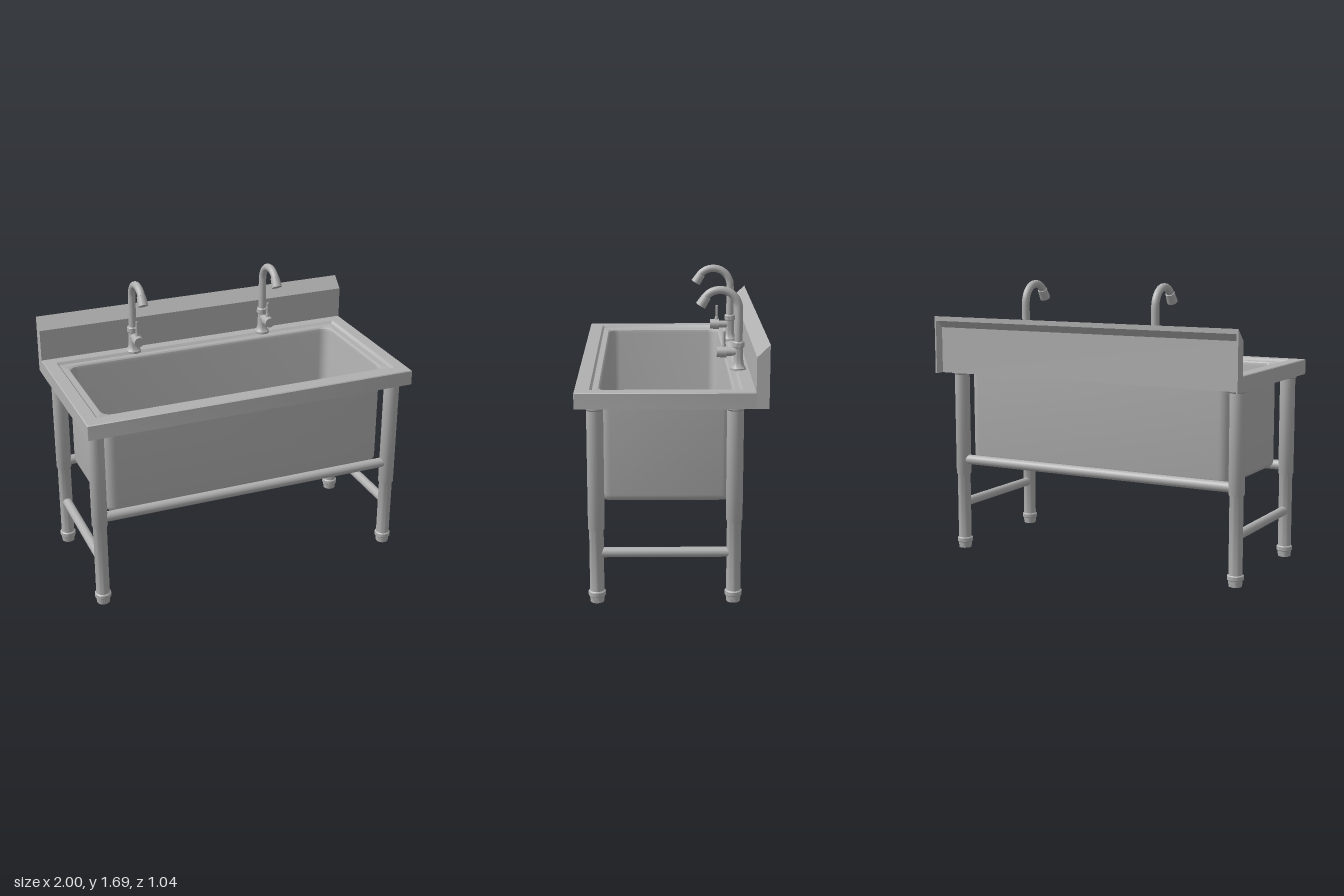
import * as THREE from 'three';
import { toCreasedNormals } from 'three/addons/utils/BufferGeometryUtils.js';

const steel = new THREE.MeshStandardMaterial({ color: 0xb0b0b0 });
steel.name = 'brushed steel';
const V = (x, y, z) => new THREE.Vector3(x, y, z);

function add(parent, name, geometry, x = 0, y = 0, z = 0) {
  const mesh = new THREE.Mesh(geometry, steel);
  mesh.name = name;
  mesh.position.set(x, y, z);
  parent.add(mesh);
  return mesh;
}

// Skin over rounded rectangles; each ring is [halfX, zBack, zFront, cornerRadius, y]
function loft(rings) {
  const steps = 6, n = 4 * (steps + 1), pos = [], index = [];
  for (const [hx, z0, z1, r, y] of rings) {
    const corners = [[hx - r, z1 - r], [-hx + r, z1 - r], [-hx + r, z0 + r], [hx - r, z0 + r]];
    corners.forEach(([cx, cz], q) => {
      for (let s = 0; s <= steps; s++) {
        const a = (q + s / steps) * Math.PI / 2;
        pos.push(cx + r * Math.cos(a), y, cz + r * Math.sin(a));
      }
    });
  }
  for (let k = 0; k < rings.length - 1; k++) {
    for (let i = 0; i < n; i++) {
      const a = k * n + i, b = k * n + (i + 1) % n;
      index.push(a, a + n, b + n, a, b + n, b);
    }
  }
  const g = new THREE.BufferGeometry();
  g.setAttribute('position', new THREE.Float32BufferAttribute(pos, 3));
  g.setIndex(index);
  return toCreasedNormals(g, 0.6);
}

// Lathe from [radius, y] pairs, listed bottom to top
function turned(points, segments = 24) {
  const g = new THREE.LatheGeometry(points.map(([r, y]) => new THREE.Vector2(r, y)), segments);
  return toCreasedNormals(g, 0.6);
}

// Cylinder between two points
function rod(parent, name, a, b, r0, r1 = r0) {
  const mesh = add(parent, name, new THREE.CylinderGeometry(r1, r0, a.distanceTo(b), 20));
  mesh.position.copy(a).add(b).multiplyScalar(0.5);
  mesh.quaternion.setFromUnitVectors(V(0, 1, 0), b.clone().sub(a).normalize());
  return mesh;
}

// Side profile in [z, y], extruded along x and starting at xMax
function sideProfile(points, width, xMax) {
  const shape = new THREE.Shape(points.map(([z, y]) => new THREE.Vector2(z, y)));
  return new THREE.ExtrudeGeometry(shape, { depth: width, bevelEnabled: false })
    .rotateY(-Math.PI / 2).translate(xMax, 0, 0);
}

function makeFaucet(x) {
  const faucet = new THREE.Group();
  faucet.name = 'faucet';
  faucet.position.set(x, 0, -0.39);
  add(faucet, 'faucetBody', turned([
    [0, 1.205], [0.046, 1.205], [0.046, 1.218], [0.036, 1.228], [0.029, 1.25], [0.027, 1.28],
    [0.027, 1.335], [0.034, 1.34], [0.034, 1.365], [0.029, 1.372], [0, 1.372]]));

  // Swan neck: straight riser, then an arc towards the front
  const path = [V(0, 1.36, 0), V(0, 1.46, 0)];
  for (let i = 0; i <= 10; i++) {
    const a = Math.PI - (i / 10) * Math.PI * 0.78;
    path.push(V(0, 1.558 + 0.108 * Math.sin(a), 0.108 + 0.108 * Math.cos(a)));
  }
  add(faucet, 'swanNeck', new THREE.TubeGeometry(new THREE.CatmullRomCurve3(path), 48, 0.023, 16));
  rod(faucet, 'spoutTip', V(0, 1.628, 0.185), V(0, 1.577, 0.218), 0.027, 0.031);

  // Side valve with its lever
  rod(faucet, 'valveArm', V(0, 1.31, 0), V(0, 1.31, 0.08), 0.023);
  rod(faucet, 'valveKnob', V(0, 1.31, 0.07), V(0, 1.31, 0.125), 0.034, 0.03);
  rod(faucet, 'leverStem', V(0, 1.33, 0.084), V(0, 1.36, 0.084), 0.015, 0.01);
  rod(faucet, 'lever', V(0, 1.35, 0.084), V(0, 1.43, 0.084), 0.008);
  return faucet;
}

export function createModel() {
  const sink = new THREE.Group();
  sink.name = 'utilitySink';

  // Basin shell: outer bottom, outer wall, rim, recessed ledge, inner wall and floor
  const rings = [[0, 0.03, 0.03, 0, 0.56]];
  const fillet = (hx, z0, z1, y, r, t) => {
    const d = r * (1 - Math.cos(t)), h = r * (1 - Math.sin(t));
    return [hx - d, z0 + d, z1 - d, 0.06 - d, y + h];
  };
  for (let i = 4; i >= 0; i--) rings.push(fillet(0.872, -0.34, 0.393, 0.56, 0.04, i * Math.PI / 8));
  rings.push(
    [0.872, -0.34, 0.393, 0.06, 1.12],
    [1, -0.455, 0.52, 0.003, 1.12],
    [1, -0.455, 0.52, 0.003, 1.205],
    [0.995, -0.45, 0.515, 0.003, 1.21],
    [0.925, -0.385, 0.44, 0.01, 1.21],
    [0.912, -0.372, 0.428, 0.01, 1.195],
    [0.875, -0.343, 0.396, 0.06, 1.195],
    [0.866, -0.334, 0.387, 0.06, 1.187],
    [0.862, -0.33, 0.383, 0.06, 1.17]);
  for (let i = 0; i <= 4; i++) rings.push(fillet(0.862, -0.33, 0.383, 0.57, 0.04, i * Math.PI / 8));
  rings.push([0, 0.03, 0.03, 0, 0.57]);
  add(sink, 'basinAndRim', loft(rings));

  // Folded backsplash sheet, open behind, with end plates
  add(sink, 'backsplash', sideProfile([
    [-0.45, 1.12], [-0.45, 1.4], [-0.52, 1.468], [-0.52, 1.44],
    [-0.512, 1.44], [-0.512, 1.449], [-0.46, 1.397], [-0.46, 1.12]], 2, 1));
  const endPlate = [[-0.45, 1.12], [-0.45, 1.4], [-0.52, 1.468], [-0.52, 1.12]];
  for (const xMax of [1, -0.99]) add(sink, 'backsplashEnd', sideProfile(endPlate, 0.01, xMax));

  // Legs: sleeves of differing length over thinner tubes, on adjustable feet
  const legX = 0.928, frontZ = 0.412, backZ = -0.345;
  const legs = [[1, frontZ, 0.43], [-1, frontZ, 0.52], [1, backZ, 0.48], [-1, backZ, 0.53]];
  for (const [side, z, sleeveEnd] of legs) {
    add(sink, 'leg', turned([
      [0, 0.05], [0.04, 0.05], [0.04, sleeveEnd - 0.012], [0.046, sleeveEnd],
      [0.046, 1.1], [0.052, 1.108], [0.052, 1.125]]), side * legX, 0, z);
    add(sink, 'foot', turned([
      [0, 0], [0.038, 0], [0.042, 0.035], [0.048, 0.04], [0.048, 0.062], [0.041, 0.068], [0, 0.068]]),
      side * legX, 0, z);
  }

  // Long rails at front and back, lower rails at the sides
  for (const z of [frontZ, backZ]) rod(sink, 'longRail', V(-legX, 0.565, z), V(legX, 0.565, z), 0.03);
  for (const x of [-legX, legX]) rod(sink, 'sideRail', V(x, 0.288, backZ), V(x, 0.288, frontZ), 0.028);

  for (const x of [-0.437, 0.424]) sink.add(makeFaucet(x));
  return sink;
}
